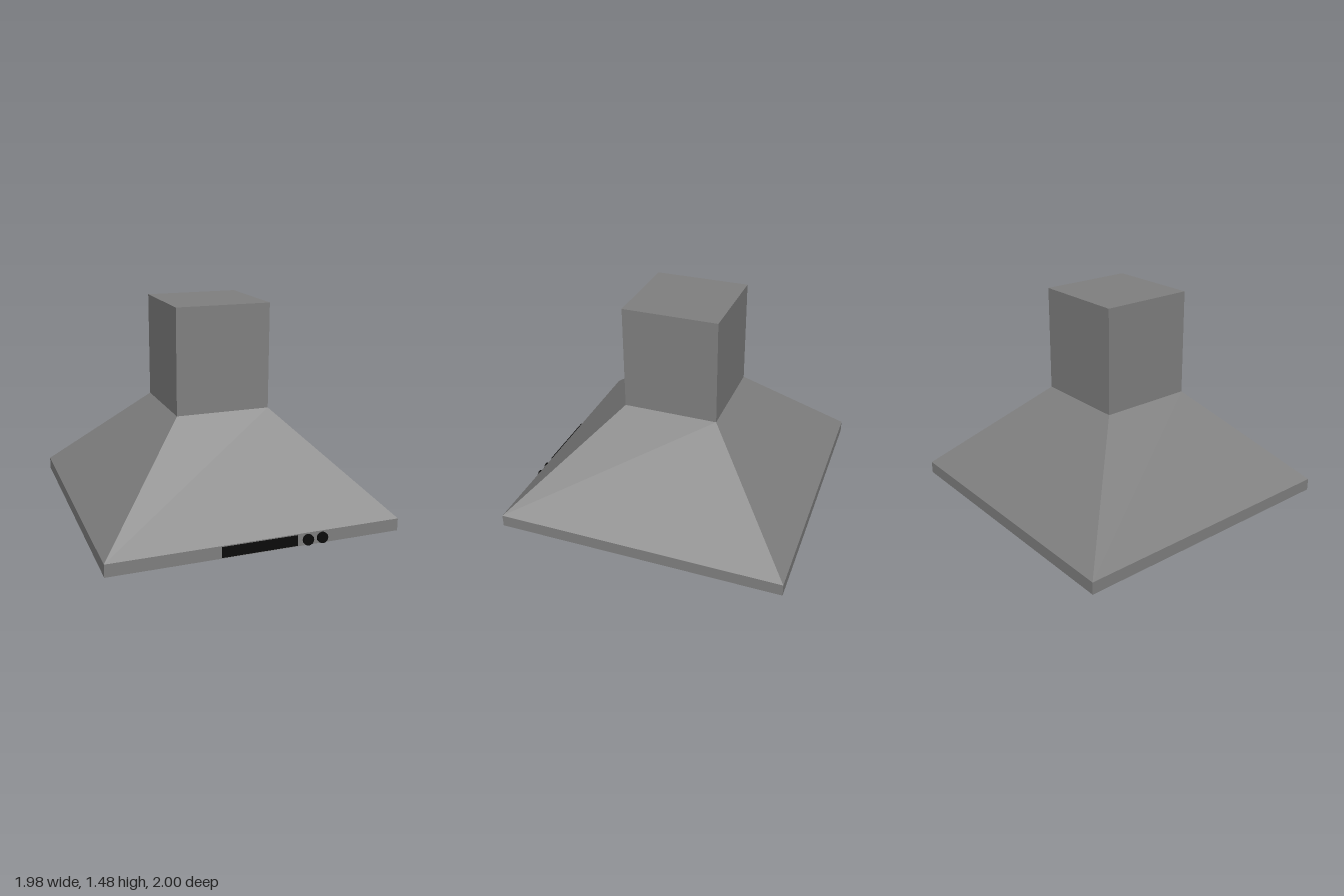
import * as THREE from 'three';

const steel = new THREE.MeshStandardMaterial({ color: 0x808080 });
steel.name = 'brushed steel';
const black = new THREE.MeshStandardMaterial({ color: 0x0a0a0a });
black.name = 'control black';

const CENTRE_Z = -0.01;

// Box whose bottom (w0 x d0, at y0) and top (w1 x d1, at y1) may differ
function taperedBox(w0, d0, y0, w1, d1, y1) {
  const geo = new THREE.BoxGeometry(1, 1, 1);
  const p = geo.attributes.position;
  for (let i = 0; i < p.count; i++) {
    const top = p.getY(i) > 0;
    p.setXYZ(i, p.getX(i) * (top ? w1 : w0), top ? y1 : y0, p.getZ(i) * (top ? d1 : d0));
  }
  geo.computeVertexNormals();
  return geo;
}

export function createModel() {
  const model = new THREE.Group();
  model.name = 'rangeHood';

  const add = (name, geo, mat, x, y, z) => {
    const mesh = new THREE.Mesh(geo, mat);
    mesh.name = name;
    mesh.position.set(x, y, z);
    model.add(mesh);
    return mesh;
  };

  // Chimney, sloping canopy and upper part of the rim
  add('chimney', taperedBox(0.655, 0.655, 0.755, 0.655, 0.655, 1.48), steel, 0, 0, CENTRE_Z);
  add('canopy', taperedBox(1.98, 1.98, 0.105, 0.655, 0.655, 0.755), steel, 0, 0, CENTRE_Z);
  add('rimTop', taperedBox(1.98, 1.98, 0.07, 1.98, 1.98, 0.105), steel, 0, 0, CENTRE_Z);

  // Baffle ridges under the rim, in two filter groups
  const filters = [
    { xs: [-0.77, -0.635, -0.5, -0.38, -0.26], bottom: 0 },
    { xs: [0.215, 0.34, 0.475, 0.615, 0.745], bottom: 0.007 },
  ];

  // Lower rim plate with a slot between each pair of ridges
  const plate = new THREE.Shape([
    new THREE.Vector2(-0.99, -0.99), new THREE.Vector2(0.99, -0.99),
    new THREE.Vector2(0.99, 0.99), new THREE.Vector2(-0.99, 0.99),
  ]);

  for (const { xs, bottom } of filters) {
    xs.forEach((x, i) => {
      add('baffleRidge', taperedBox(0.05, 1.9, bottom, 0.07, 1.96, 0.021), steel, x, 0, CENTRE_Z);
      if (i === 0) return;
      const x0 = xs[i - 1] + 0.035;
      const x1 = x - 0.035;
      plate.holes.push(new THREE.Path([
        new THREE.Vector2(x0, -0.93), new THREE.Vector2(x0, 0.93),
        new THREE.Vector2(x1, 0.93), new THREE.Vector2(x1, -0.93),
      ]));
    });
  }
  const plateGeo = new THREE.ExtrudeGeometry(plate, { depth: 0.05, bevelEnabled: false });
  plateGeo.rotateX(Math.PI / 2);
  add('slottedRim', plateGeo, steel, 0, 0.07, CENTRE_Z);

  // Control panel and two knobs on the front of the rim
  add('controlPanel', new THREE.BoxGeometry(0.51, 0.068, 0.012), black, 0, 0.064, 0.986);
  for (const x of [0.33, 0.43]) {
    const knob = add('knob', new THREE.CylinderGeometry(0.036, 0.036, 0.02, 24), black, x, 0.06, 0.99);
    knob.rotation.x = Math.PI / 2;
  }

  return model;
}
